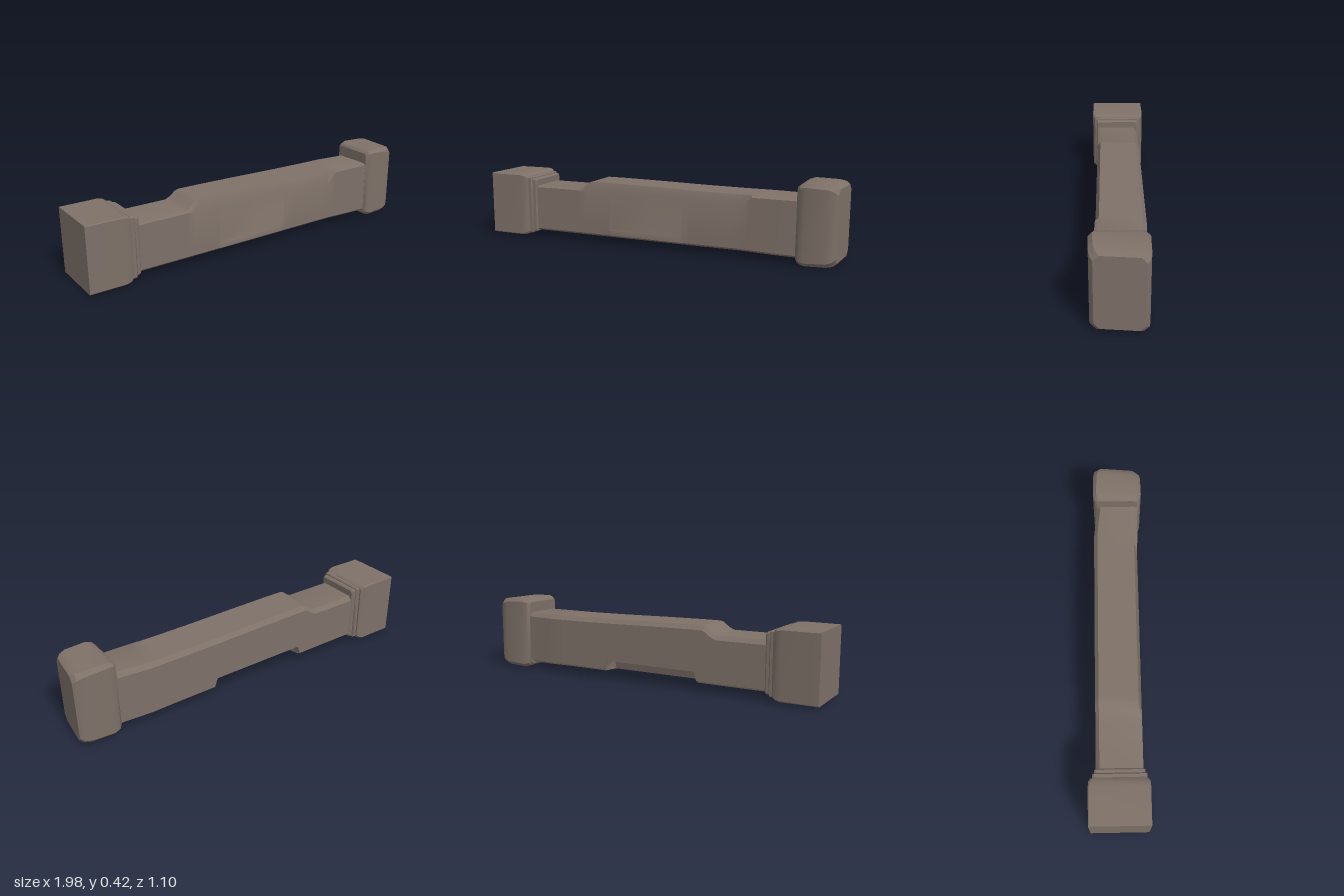
import * as THREE from 'three';
import { toCreasedNormals } from 'three/addons/utils/BufferGeometryUtils.js';

const { smoothstep } = THREE.MathUtils;

// Skin a row of equal-length rings of points and close both ends.
function loft(rings) {
  const n = rings[0].length;
  const idx = [];
  for (let r = 0; r < rings.length - 1; r++) {
    for (let i = 0; i < n; i++) {
      const j = (i + 1) % n, a = r * n, b = a + n;
      idx.push(a + i, a + j, b + i, a + j, b + j, b + i);
    }
  }
  const last = (rings.length - 1) * n;
  for (let i = 1; i < n - 1; i++) {
    idx.push(0, i + 1, i, last, last + i, last + i + 1);
  }
  const g = new THREE.BufferGeometry();
  g.setAttribute('position', new THREE.Float32BufferAttribute(rings.flat(2), 3));
  g.setIndex(idx);
  return toCreasedNormals(g, 0.55);
}

// Rings of a corner-cut rectangle: each step gives x, inset, corner cut and slant in plan.
function blockRings([back, front, bottom, top], steps) {
  return steps.map(([x, inset, cut, slant = 0]) => {
    const z0 = back + inset, z1 = front - inset;
    const y0 = bottom + inset, y1 = top - inset;
    return [
      [z0 + cut, y1], [z1 - cut, y1], [z1, y1 - cut], [z1, y0 + cut],
      [z1 - cut, y0], [z0 + cut, y0], [z0, y0 + cut], [z0, y1 - cut],
    ].map(([z, y]) => [x + slant * z, y, z]);
  });
}

// Shaft section at x: broken top, worn front lip, low front strip, notch under the back edge.
function shaftRing(x) {
  const top = 0.308 + 0.045 * smoothstep(x, -0.44, -0.36) - 0.011 * smoothstep(x, -0.3, 0.5);
  const chip = Math.max(0, 1 - Math.abs(x - 0.53) / 0.04);
  const lip = 0.3 + 0.032 * smoothstep(x, 0.54, 0.59) - 0.03 * chip;
  const back = -0.144 + 0.018 * smoothstep(x, 0.62, 0.84);
  const front = 0.106 + 0.005 * smoothstep(x, 0.5, 0.75);
  const bottom = 0.041 - 0.005 * smoothstep(x, 0.5, 0.8);
  const strip = x > -0.24 && x < 0.2 ? 0.004 : 0;
  const notched = x > -0.32 && x < 0.26;
  const width = notched ? 0.1 : 0.02;
  const depth = notched ? 0.062 : 0.012;
  return [
    [back + 0.02, top], [front - 0.018, top],
    [front, lip], [front, 0.09],
    [front + strip, 0.082], [front + strip, bottom + 0.012],
    [front - 0.015, bottom], [back + width, bottom],
    [back + width * 0.85, bottom + depth], [back, bottom + depth],
    [back, top - 0.025],
  ].map(([z, y]) => [x, y, z]);
}

export function createModel() {
  const stone = new THREE.MeshStandardMaterial({ color: 0x7e7168 });
  stone.name = 'weathered stone';

  const model = new THREE.Group();
  model.name = 'fallenPillar';
  const pillar = new THREE.Group();
  pillar.name = 'pillar';
  pillar.rotation.y = THREE.MathUtils.degToRad(24.4);
  model.add(pillar);

  const add = (name, rings) => {
    const mesh = new THREE.Mesh(loft(rings), stone);
    mesh.name = name;
    pillar.add(mesh);
  };

  // Square plinth with a bevelled inner edge
  add('plinth', blockRings([-0.183, 0.14, 0.011, 0.376], [
    [-1.013, 0.001, 0.004], [-0.815, 0, 0.006], [-0.785, 0.003, 0.01], [-0.768, 0.014, 0.012],
  ]));

  // Two stepped mouldings between plinth and shaft
  add('lowerMoulding', blockRings([-0.16, 0.123, 0.024, 0.361], [
    [-0.775, 0, 0.006], [-0.75, 0, 0.006], [-0.744, 0.006, 0.006],
  ]));
  add('upperMoulding', blockRings([-0.15, 0.114, 0.032, 0.351], [
    [-0.75, 0, 0.006], [-0.727, 0, 0.008], [-0.719, 0.007, 0.01],
  ]));

  // Worn shaft
  const stations = [
    -0.74, -0.44, -0.41, -0.38, -0.36, -0.33, -0.315, -0.245, -0.235, 0, 0.19,
    0.205, 0.25, 0.27, 0.49, 0.53, 0.56, 0.59, 0.65, 0.72, 0.8, 0.86,
  ];
  add('shaft', stations.map(shaftRing));

  // Rounded capital, its far face slightly skewed
  add('capital', blockRings([-0.147, 0.134, 0.001, 0.425], [
    [0.828, 0.022, 0.016], [0.842, 0.009, 0.016], [0.872, 0, 0.018],
    [0.99, 0.002, 0.022, -0.05], [1.025, 0.008, 0.026, -0.09], [1.044, 0.022, 0.028, -0.1],
  ]));

  return model;
}
